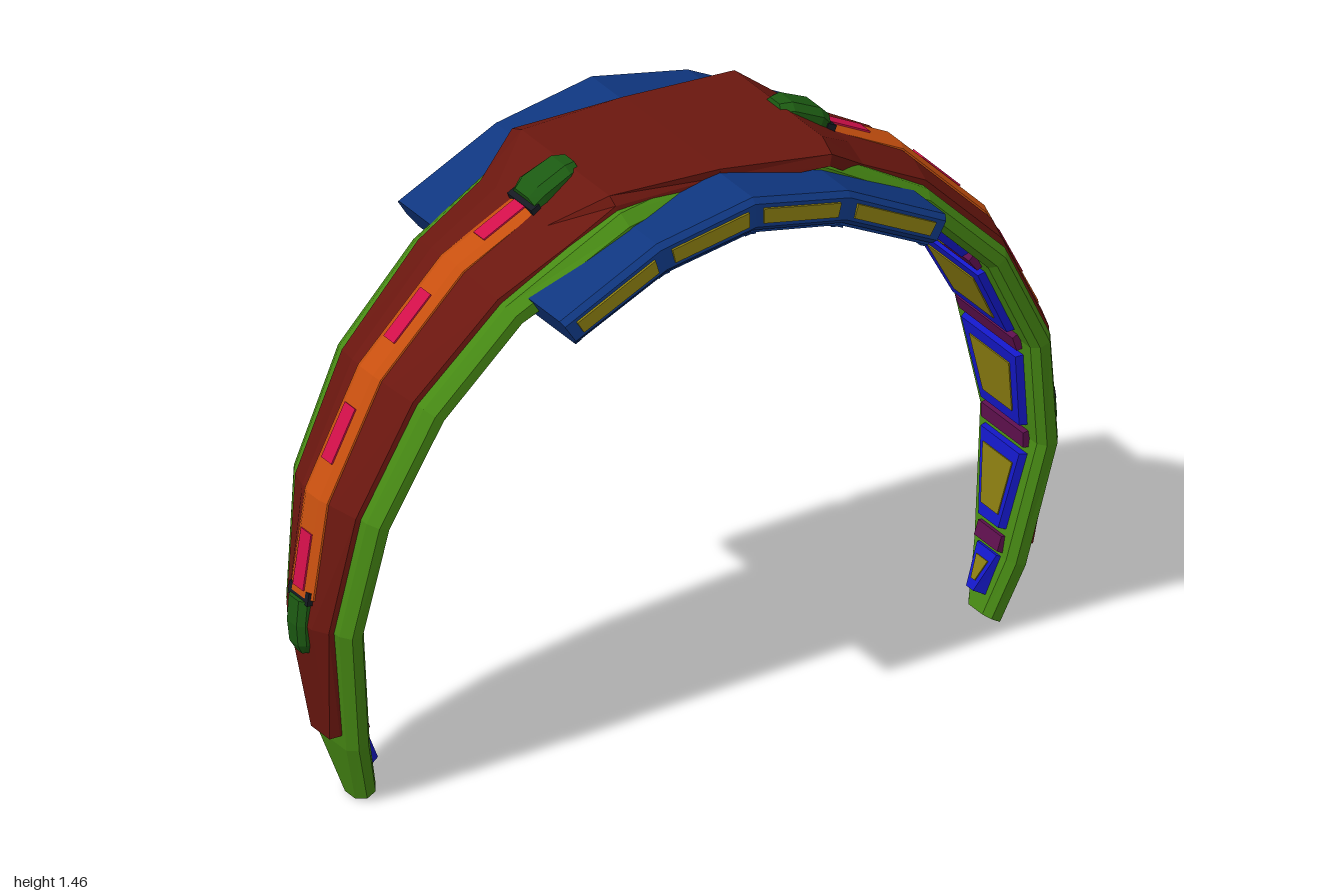
import * as THREE from 'three';

const RAD = Math.PI / 180, CY = 0.48, STEP = 18;
const paint = (color) => new THREE.MeshStandardMaterial({ color, flatShading: true });
const mats = {
  red: paint(0x6b170f), green: paint(0x478a14), royal: paint(0x0f367f), blue: paint(0x1418c8),
  olive: paint(0x8a7c10), orange: paint(0xc8500f), pink: paint(0xd20f4a), purple: paint(0x5c0f4c),
  leaf: paint(0x1c5a12), dark: paint(0x151a22),
};

// Point on the arch; radii follow straight chords between 18 degree corners
function at(deg, r, z, raw = false) {
  const mid = Math.floor(deg / STEP + 1e-6) * STEP + STEP / 2;
  const k = raw ? 1 : Math.cos(STEP / 2 * RAD) / Math.cos((deg - mid) * RAD);
  return new THREE.Vector3(r * k * Math.cos(deg * RAD), CY + r * k * Math.sin(deg * RAD), z);
}

// Closed solid through rings of equal point count, wound outward
function loft(rings) {
  const tris = [], n = rings[0].length, last = rings[rings.length - 1];
  for (let i = 0; i < rings.length - 1; i++) {
    for (let j = 0; j < n; j++) {
      const k = (j + 1) % n, A = rings[i], B = rings[i + 1];
      tris.push([A[j], A[k], B[k]], [A[j], B[k], B[j]]);
    }
  }
  for (let j = 1; j < n - 1; j++) {
    tris.push([rings[0][0], rings[0][j + 1], rings[0][j]], [last[0], last[j], last[j + 1]]);
  }
  const o = rings[0][0], v = () => new THREE.Vector3();
  let vol = 0;
  for (const [a, b, c] of tris) {
    vol += v().subVectors(a, o).dot(v().subVectors(b, o).cross(v().subVectors(c, o)));
  }
  const pos = [];
  for (const [a, b, c] of tris) for (const p of vol > 0 ? [a, b, c] : [a, c, b]) pos.push(p.x, p.y, p.z);
  const g = new THREE.BufferGeometry();
  g.setAttribute('position', new THREE.Float32BufferAttribute(pos, 3));
  g.computeVertexNormals();
  return g;
}

function buildHalf() {
  const half = new THREE.Group();
  const add = (name, mat, rings) => {
    const m = new THREE.Mesh(loft(rings), mats[mat]);
    m.name = name;
    half.add(m);
  };
  // Four-sided block along the arch, half widths w0 to w1, inner face narrowed by bevel
  const slab = (name, mat, a0, a1, rIn, rOut, w0, w1 = w0, bevel = 0) => {
    const ring = (a, w) => [at(a, rIn, w - bevel), at(a, rOut, w), at(a, rOut, -w), at(a, rIn, bevel - w)];
    add(name, mat, [ring(a0, w0), ring(a1, w1)]);
  };

  // Rim: angle, inner radius, outer radius, +z width, -z width
  const rim = [
    [-29.3, 0.925, 0.982, 0.05, 0.05], [-20, 0.895, 0.955, 0.088, 0.088], [0, 0.885, 0.945, 0.142, 0.142],
    [18, 0.885, 0.945, 0.185, 0.185], [36, 0.885, 0.945, 0.21, 0.21], [54, 0.885, 0.945, 0.222, 0.222],
    [73.9, 0.895, 0.98, 0.23, 0.25], [90, 0.89, 0.955, 0.205, 0.205],
  ];
  add('rim', 'green', rim.map(([a, i, o, p, m]) => {
    const t = o - i;
    return [[i, p - 0.02], [i + t * 0.25, p], [i + t * 0.7, p], [o, p - 0.028],
      [o, 0.028 - m], [i + t * 0.7, -m], [i + t * 0.25, -m], [i, 0.02 - m]].map(([r, z]) => at(a, r, z));
  }));

  // Outer shell: angle, radius, +z width, -z width, plateau half width
  const shell = [
    [-17.8, 0.972, 0.055, 0.055, 0.04], [0, 0.98, 0.095, 0.095, 0.052], [18, 0.98, 0.135, 0.135, 0.066],
    [36, 0.98, 0.157, 0.157, 0.08], [54, 0.98, 0.176, 0.176, 0.095], [66, 0.985, 0.195, 0.19, 0.11],
    [73.9, 1.014, 0.245, 0.21, 0.19], [90, 0.97, 0.21, 0.21, 0.208],
  ];
  add('outerShell', 'red', shell.map(([a, r, p, m, f]) =>
    [[r - 0.05, p], [r - 0.022, p - 0.004], [r, f], [r, -f], [r - 0.022, 0.004 - m], [r - 0.05, -m]]
      .map(([q, z]) => at(a, q, z))));

  // Raised spine with inserts
  add('spine', 'orange', [4, 18, 36, 54, 71].map((a) =>
    [[0.965, 0.052], [0.984, 0.048], [0.994, 0.028], [0.994, -0.028], [0.984, -0.048], [0.965, -0.052]]
      .map(([r, z]) => at(a, r, z))));
  for (let a = 9; a < 72; a += STEP) slab('spineInsert', 'pink', a - 4, a + 4, 0.98, 0.998, 0.022);

  // Spine end caps: angle, radius, half width
  const cap = (name, rows) => add(name, 'leaf', rows.map(([a, r, w]) =>
    [[r - 0.045, w], [r - 0.015, w], [r, w * 0.6], [r, -w * 0.6], [r - 0.015, -w], [r - 0.045, -w]]
      .map(([q, z]) => at(a, q, z, true))));
  cap('lowerSpineCap', [[-4.5, 0.983, 0.02], [-3, 0.996, 0.031], [0, 1, 0.034], [3.6, 0.997, 0.036]]);
  cap('upperSpineCap', [[66.8, 1.005, 0.046], [68.5, 1.018, 0.053], [73, 1.025, 0.048], [74.6, 1.016, 0.034]]);
  slab('spineCollar', 'dark', 3.2, 5, 0.96, 0.994, 0.042);
  slab('spineCollar', 'dark', 66, 67.4, 0.97, 1.0, 0.052);

  // Inner panels between the corners, and cross bars on the corners
  const width = (a) => 0.09 + 0.105 * Math.sin(Math.min(1, (a + 18) / 72) * Math.PI / 2);
  for (let v = -18; v < 54; v += STEP) {
    const w0 = width(v) - 0.035, w1 = width(v + STEP) - 0.035;
    slab('innerPanel', 'blue', v + 2.4, v + 15.6, 0.868, 0.895, w0, w1, 0.012);
    slab('innerPanelInset', 'olive', v + 4.4, v + 13.6, 0.865, 0.88, w0 * 0.66, w1 * 0.66);
  }
  slab('innerPanel', 'blue', -26.5, -20, 0.885, 0.92, 0.025, 0.052, 0.01);
  slab('innerPanelInset', 'olive', -25, -21.5, 0.882, 0.9, 0.008, 0.024);
  slab('innerPanel', 'blue', 56.4, 62, 0.868, 0.895, 0.165, 0.17, 0.012);
  for (let v = -18; v <= 54; v += STEP) {
    const w = width(v) - 0.04, r = v < 0 ? 0.873 : 0.868;
    add('crossBar', 'purple', [[-1.5, r + 0.03], [-1.2, r], [1.2, r], [1.5, r + 0.03]].map(([d, q]) =>
      [at(v + d, q, w, true), at(v + d, 0.9, w, true), at(v + d, 0.9, -w, true), at(v + d, q, -w, true)]));
  }

  // Canopy: corner angle, inner radius, outer radius
  const roof = [[57, 0.86, 0.932], [74.5, 0.868, 0.944], [90, 0.88, 0.96]];
  const D = 0.365;
  add('canopy', 'royal', roof.map(([a, i, o]) =>
    [[i, D - 0.012], [i + 0.012, D], [o - 0.012, D - 0.004], [o, D - 0.018],
      [o, 0.018 - D], [o - 0.012, 0.004 - D], [i + 0.012, -D], [i, 0.012 - D]]
      .map(([r, z]) => at(a, r, z, true))));
  // Block along canopy span s, from t0 to t1, depths d0 to d1 (0 inner, 1 outer)
  const plate = (name, mat, s, t0, t1, d0, d1, z0, z1) => {
    const p = (t, d, z) => {
      const [A, B] = [roof[s], roof[s + 1]].map(([a, i, o]) => at(a, i + (o - i) * d, z, true));
      return A.lerp(B, t);
    };
    add(name, mat, [t0, t1].map((t) => [p(t, d0, z0), p(t, d1, z0), p(t, d1, z1), p(t, d0, z1)]));
  };
  for (const s of [0, 1]) {
    plate('canopyInset', 'olive', s, 0.16, 0.86, -0.06, 0.3, -0.15, 0.15);
    plate('canopyRib', 'royal', s, 0, 0.07, -0.2, 0.3, -0.34, 0.34);
    plate('canopyRib', 'royal', s, 0.94, 1, -0.2, 0.3, -0.34, 0.34);
    for (const m of [-1, 1]) {
      plate('canopyEdgeInset', 'olive', s, 0.1, 0.92, 0.27, 0.73, m * 0.33, m * (D + 0.003));
      plate('canopyUnderPlate', 'purple', s, 0.13, 0.89, -0.27, 0.2, m * 0.19, m * 0.265);
      plate('canopyUnderRail', 'royal', s, 0, 1, -0.12, 0.2, m * 0.3, m * 0.345);
    }
  }
  return half;
}

export function createModel() {
  const model = new THREE.Group();
  model.name = 'archedBand';
  // Two identical halves, turned half a revolution about the vertical axis
  for (const [name, turn] of [['leftHalf', 0], ['rightHalf', Math.PI]]) {
    const half = buildHalf();
    half.name = name;
    half.rotation.y = turn - 0.05;
    model.add(half);
  }
  return model;
}
